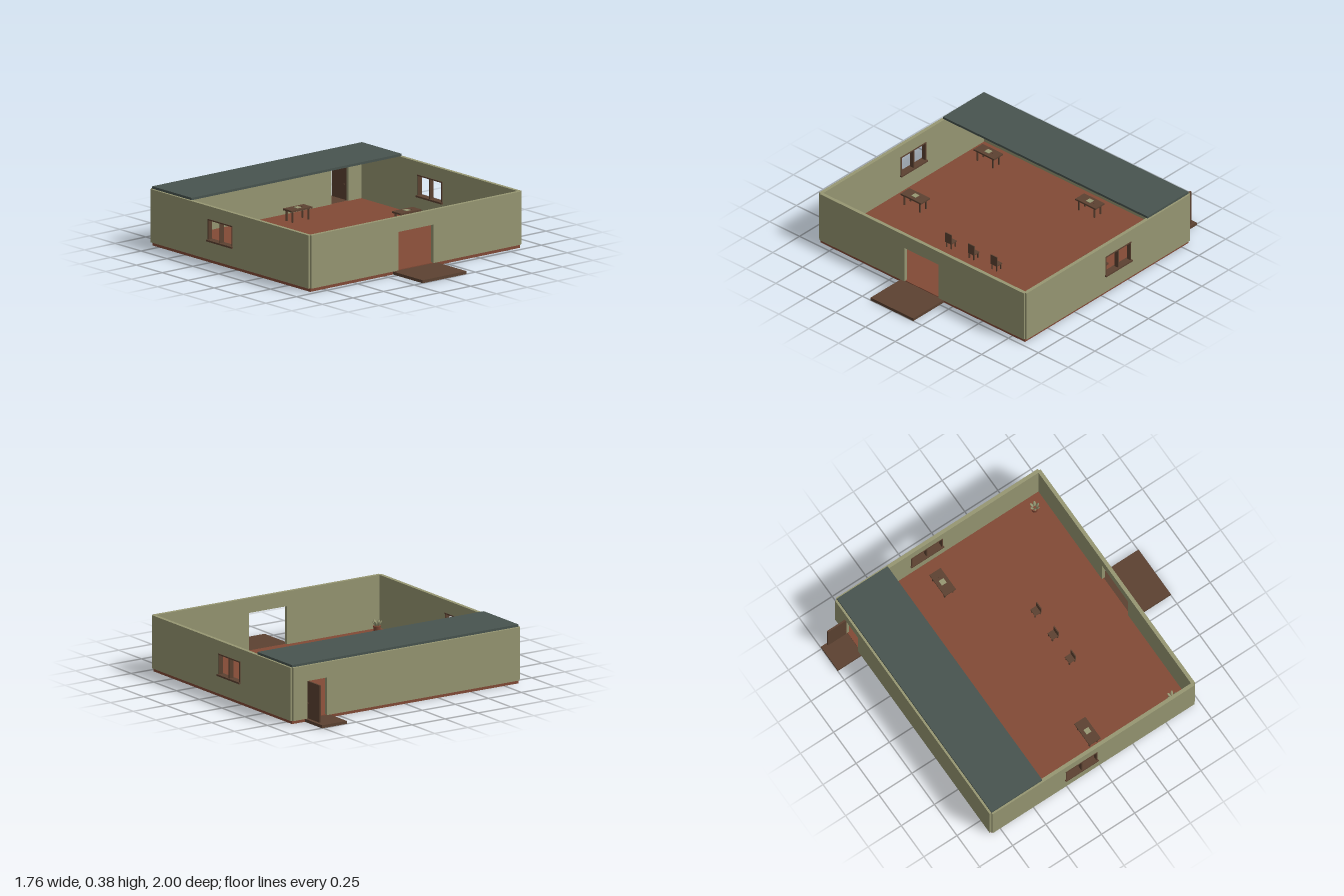
import * as THREE from 'three';

const paint = (name, color) => {
  const m = new THREE.MeshStandardMaterial({ color });
  m.name = name;
  return m;
};

export function createModel() {
  const wallMat = paint('olive wall', 0x969672);
  const floorMat = paint('brick floor', 0x824a36);
  const roofMat = paint('slate roof', 0x48544f);
  const woodMat = paint('brown wood', 0x5c4231);
  const model = new THREE.Group();
  model.name = 'building';

  // Box given by its lower and upper corners
  const box = (parent, name, mat, [x0, y0, z0], [x1, y1, z1]) => {
    const mesh = new THREE.Mesh(new THREE.BoxGeometry(x1 - x0, y1 - y0, z1 - z0), mat);
    mesh.position.set((x0 + x1) / 2, (y0 + y1) / 2, (z0 + z1) / 2);
    mesh.name = name;
    parent.add(mesh);
    return mesh;
  };
  const group = (name, x, y, z) => {
    const g = new THREE.Group();
    g.name = name;
    g.position.set(x, y, z);
    model.add(g);
    return g;
  };

  // Wall outline with an optional doorway notch and an optional window hole
  const BASE = 0.022, TOP = 0.365, THICK = 0.024;
  const wallGeometry = (a, b, door, hole) => {
    const s = new THREE.Shape();
    s.moveTo(a, BASE);
    if (door) {
      s.lineTo(door[0], BASE);
      s.lineTo(door[0], door[2]);
      s.lineTo(door[1], door[2]);
      s.lineTo(door[1], BASE);
    }
    s.lineTo(b, BASE);
    s.lineTo(b, TOP);
    s.lineTo(a, TOP);
    if (hole) {
      const [h0, h1, v0, v1] = hole;
      s.holes.push(new THREE.Path([[h0, v0], [h0, v1], [h1, v1], [h1, v0]].map(p => new THREE.Vector2(...p))));
    }
    return new THREE.ExtrudeGeometry(s, { depth: THICK, bevelEnabled: false }).translate(0, 0, -THICK / 2);
  };
  const wall = (name, geometry, x, z) => {
    const mesh = new THREE.Mesh(geometry, wallMat);
    mesh.name = name;
    mesh.position.set(x, 0, z);
    model.add(mesh);
  };

  // Floor, walls, roof and entrance platforms
  box(model, 'floor', floorMat, [-0.856, 0, -0.812], [0.856, 0.024, 0.714]);
  wall('frontWall', wallGeometry(-0.856, 0.856, [-0.145, 0.142, 0.27]), 0, 0.712);
  wall('backWall', wallGeometry(-0.856, 0.856, [0.6, 0.74, 0.265]), 0, -0.814);
  for (const side of [-1, 1]) {
    const g = wallGeometry(-0.812, 0.712, null, [-0.258, -0.025, 0.145, 0.28]).rotateY(-Math.PI / 2);
    wall(side > 0 ? 'leftWall' : 'rightWall', g, side * 0.857, 0);
  }
  box(model, 'roof', roofMat, [-0.857, 0.366, -0.812], [0.857, 0.381, -0.43]);
  box(model, 'frontPlatform', woodMat, [-0.181, 0, 0.714], [0.177, 0.019, 1]);
  box(model, 'backStep', woodMat, [0.571, 0, -1], [0.758, 0.019, -0.812]);

  // Open back door with handles
  const door = group('backDoor', 0.743, 0, 0);
  box(door, 'doorLeaf', woodMat, [-0.005, 0.025, -0.96], [0.006, 0.265, -0.822]);
  for (const s of [-1, 1]) {
    const knob = new THREE.Mesh(new THREE.SphereGeometry(0.005, 10, 8), woodMat);
    knob.name = 'doorKnob';
    knob.position.set(s * 0.01, 0.125, -0.838);
    door.add(knob);
  }

  // Window frames with mullion and projecting sill
  for (const side of [-1, 1]) {
    const w = group('window', side * 0.857, 0, -0.1415);
    const bar = (name, y0, y1, z0, z1, d = 0.015) => box(w, name, woodMat, [-d, y0, z0], [d, y1, z1]);
    bar('sill', 0.138, 0.149, -0.124, 0.124, 0.024);
    bar('frameTop', 0.274, 0.282, -0.12, 0.12);
    for (const z of [-0.115, 0, 0.115]) bar('frameUpright', 0.148, 0.278, z - 0.004, z + 0.004);
  }

  // Tables with a sheet and a small pen on top
  for (const [x, z] of [[-0.665, 0.042], [0.66, -0.148], [-0.665, -0.64], [0.185, -0.64]]) {
    const t = group('table', x, 0.024, z);
    box(t, 'tableTop', woodMat, [-0.085, 0.07, -0.042], [0.085, 0.081, 0.042]);
    for (const lx of [-0.065, 0.065]) for (const lz of [-0.028, 0.028]) {
      box(t, 'tableLeg', woodMat, [lx - 0.005, 0, lz - 0.005], [lx + 0.005, 0.071, lz + 0.005]);
    }
    box(t, 'paper', wallMat, [-0.018, 0.081, -0.018], [0.018, 0.084, 0.018]);
    box(t, 'pen', woodMat, [0.034, 0.081, -0.005], [0.04, 0.084, 0.005]);
  }

  // Row of chairs facing the tables
  for (const x of [-0.194, -0.004, 0.187]) {
    const c = group('chair', x, 0.024, 0.234);
    box(c, 'seat', woodMat, [-0.026, 0.036, -0.025], [0.026, 0.043, 0.025]);
    box(c, 'backrest', woodMat, [-0.026, 0.043, 0.018], [0.026, 0.105, 0.025]);
    for (const lx of [-0.019, 0.019]) for (const lz of [-0.019, 0.019]) {
      box(c, 'chairLeg', woodMat, [lx - 0.004, 0, lz - 0.004], [lx + 0.004, 0.037, lz + 0.004]);
    }
  }

  // Potted plants in the front corners
  for (const x of [-0.765, 0.757]) {
    const p = group('pottedPlant', x, 0.024, 0.612);
    const pot = new THREE.Mesh(new THREE.CylinderGeometry(0.025, 0.019, 0.045, 12), floorMat);
    pot.name = 'pot';
    pot.position.y = 0.0225;
    p.add(pot);
    for (let i = 0; i < 6; i++) {
      const leaf = new THREE.Mesh(new THREE.SphereGeometry(1, 8, 6).scale(0.009, 0.022, 0.005), wallMat);
      leaf.name = 'leaf';
      const a = i * Math.PI / 3;
      leaf.position.set(Math.sin(a) * 0.02, 0.06, Math.cos(a) * 0.02);
      leaf.rotation.set(0.55, a, 0, 'YXZ');
      p.add(leaf);
    }
  }
  return model;
}
